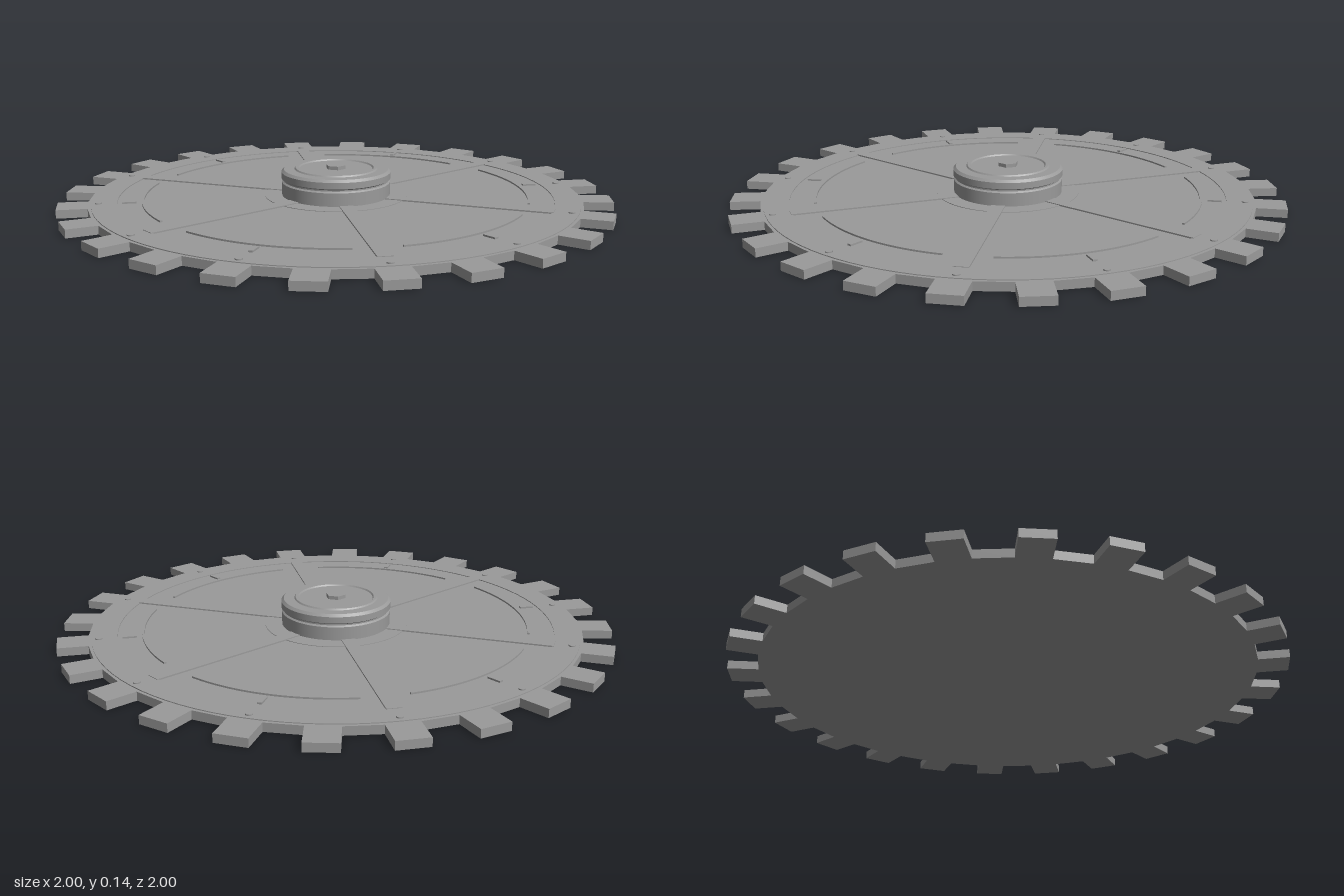
import * as THREE from 'three';

const TOP = 0.03; // upper face of the toothed plate

// Extrude a flat shape upwards from height y
function slab(shape, y, height, curveSegments = 24) {
  const g = new THREE.ExtrudeGeometry(shape, { depth: height, bevelEnabled: false, curveSegments });
  g.rotateX(-Math.PI / 2);
  g.translate(0, y, 0);
  return g;
}

// Ring sector between two radii
function sector(inner, outer, from, to) {
  const s = new THREE.Shape();
  s.absarc(0, 0, outer, from, to, false);
  s.absarc(0, 0, inner, to, from, true);
  return s;
}

function ring(inner, outer) {
  const s = new THREE.Shape().absarc(0, 0, outer, 0, Math.PI * 2, false);
  s.holes.push(new THREE.Path().absarc(0, 0, inner, 0, Math.PI * 2, true));
  return s;
}

export function createModel() {
  const model = new THREE.Group();
  model.name = 'gearWheel';
  const metal = new THREE.MeshStandardMaterial({ color: 0x9a9a9a });
  metal.name = 'grey metal';

  function add(name, geometry, angle = 0) {
    const mesh = new THREE.Mesh(geometry, metal);
    mesh.name = name;
    mesh.rotation.y = angle;
    model.add(mesh);
    return mesh;
  }

  // Plate with 24 straight-sided teeth
  const outline = [];
  for (let i = 0; i < 24; i++) {
    const a = (i * Math.PI) / 12;
    for (const [r, w] of [[0.89, -0.055], [0.9985, -0.055], [0.9985, 0.055], [0.89, 0.055]]) {
      outline.push(new THREE.Vector2(r, w).rotateAround(new THREE.Vector2(), a));
    }
  }
  add('toothedPlate', slab(new THREE.Shape(outline), 0, TOP));

  // Slightly raised rim and hub flange
  add('rim', slab(ring(0.79, 0.88), TOP, 0.003, 48));
  add('hubFlange', slab(ring(0.1, 0.26), TOP, 0.002, 32));

  const step = Math.PI / 3;
  const spoke = new THREE.BoxGeometry(0.64, 0.005, 0.05).translate(0.475, TOP + 0.0025, 0);
  const bar = new THREE.BoxGeometry(0.05, 0.006, 0.015).translate(0.748, TOP + 0.003, 0);
  const half = THREE.MathUtils.degToRad(23.5);
  const ridge = slab(sector(0.695, 0.704, -half, half), TOP, 0.006, 24);
  const rivet = new THREE.CylinderGeometry(0.012, 0.012, 0.007, 12).translate(0.855, TOP + 0.0035, 0);
  for (let i = 0; i < 6; i++) {
    const a = i * step;
    add('spoke', spoke, a);
    add('arcRidge', ridge, a + step / 2);
    add('radialBar', bar, a + step / 2);
    add('rivet', rivet, a);
    add('rivet', rivet, a + step / 2);
  }

  // Hub: each straight run is its own lathe so edges stay sharp
  const profile = [
    [0.198, TOP], [0.198, 0.08], [0.192, 0.085], [0.192, 0.09], [0.2, 0.095], [0.2, 0.118],
    [0.191, 0.127], [0.152, 0.127], [0.148, 0.132], [0.138, 0.132], [0.134, 0.127], [0, 0.127],
  ].map(([r, y]) => new THREE.Vector2(r, y));
  const hub = new THREE.Group();
  hub.name = 'hub';
  for (let i = 0; i + 1 < profile.length; i++) {
    const band = new THREE.Mesh(new THREE.LatheGeometry([profile[i], profile[i + 1]], 64), metal);
    band.name = 'hubBand';
    hub.add(band);
  }
  model.add(hub);

  // Hexagonal bolt head with corners on the x axis
  add('hexBolt', new THREE.CylinderGeometry(0.037, 0.037, 0.014, 6).toNonIndexed().translate(0, 0.133, 0), Math.PI / 2)
    .geometry.computeVertexNormals();

  return model;
}
